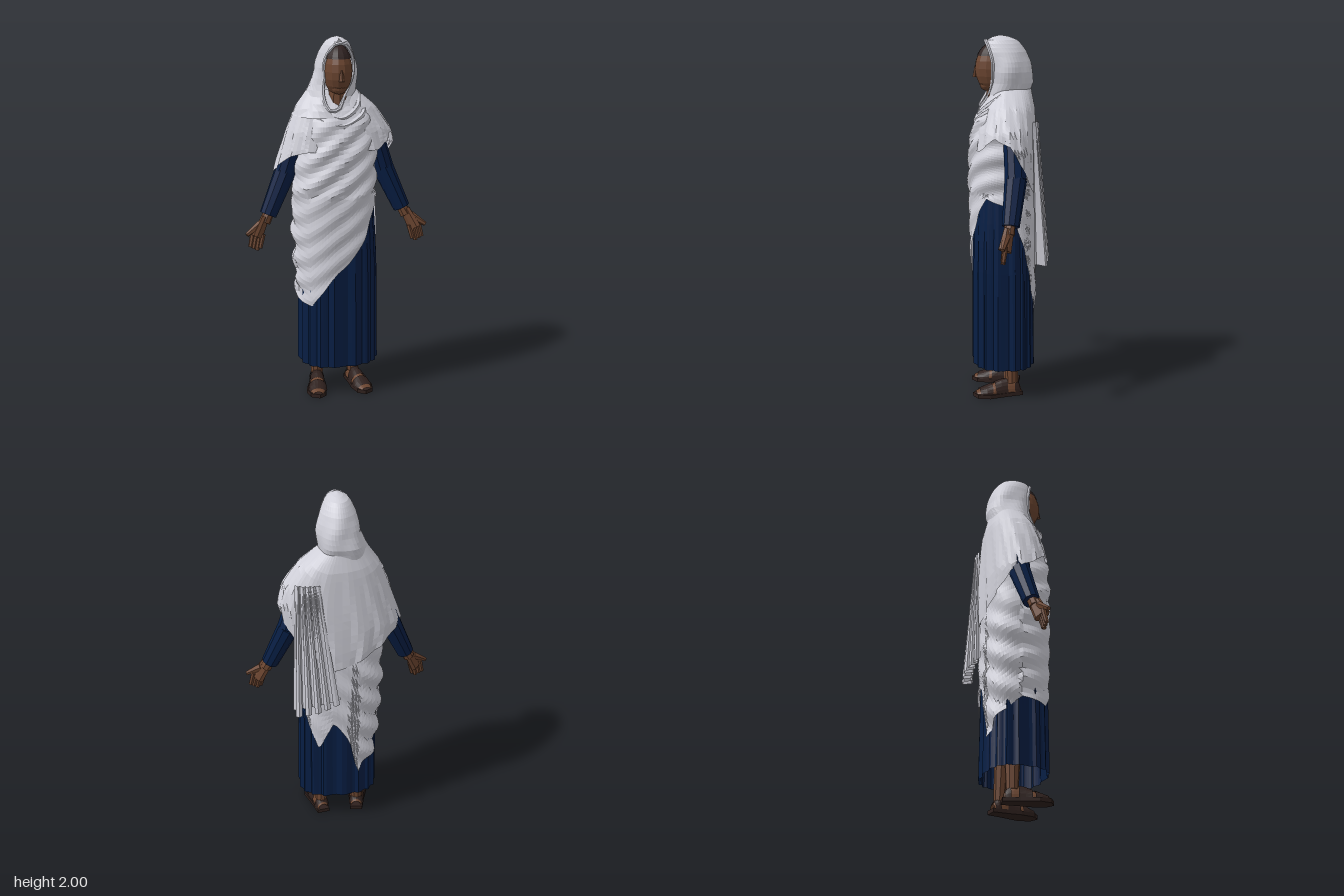
import * as THREE from 'three';

const mat = (name, color) => {
  const m = new THREE.MeshStandardMaterial({ color, side: THREE.DoubleSide, flatShading: true });
  m.name = name;
  return m;
};
const cloth = mat('white shawl', 0xd0d0d9);
const blue = mat('navy dress', 0x071e44);
const skin = mat('brown skin', 0x6b4530);
const dark = mat('dark hair', 0x2f2221);
const leather = mat('dark leather', 0x2e201d);

const V = (x, y, z) => new THREE.Vector3(x, y, z);
const RAD = Math.PI / 180;

// Piecewise linear lookup in rows of [key, ...values]
function look(rows, t) {
  if (t <= rows[0][0]) return rows[0].slice(1);
  for (let i = 1; i < rows.length; i++) {
    if (t <= rows[i][0]) {
      const a = rows[i - 1], b = rows[i], k = (t - a[0]) / (b[0] - a[0]);
      return a.slice(1).map((v, j) => v + (b[j + 1] - v) * k);
    }
  }
  return rows[rows.length - 1].slice(1);
}

// Point of a lopsided rounded section; rows are [y, xRight, xLeft, zBack, zFront]
function section(rows, deg, y, power, bulge = 0) {
  const [xr, xl, zb, zf] = look(rows, y);
  const c = Math.cos(deg * RAD), s = Math.sin(deg * RAD);
  const f = (v) => Math.sign(v) * Math.abs(v) ** (2 / power);
  return V(f(c) * (c < 0 ? xr : xl) + c * bulge, y, f(s) * (s < 0 ? zb : zf) + s * bulge);
}

// Surface from a grid of points; u runs round, v runs down
function sheet(name, material, nu, nv, fn) {
  const pos = [], idx = [];
  for (let j = 0; j <= nv; j++)
    for (let i = 0; i <= nu; i++) pos.push(...fn(i / nu, j / nv).toArray());
  for (let j = 0; j < nv; j++)
    for (let i = 0; i < nu; i++) {
      const a = j * (nu + 1) + i, b = a + nu + 1;
      idx.push(a, a + 1, b, a + 1, b + 1, b);
    }
  const g = new THREE.BufferGeometry();
  g.setAttribute('position', new THREE.Float32BufferAttribute(pos, 3));
  g.setIndex(idx);
  g.computeVertexNormals();
  return named(new THREE.Mesh(g, material), name);
}
const named = (o, name) => { o.name = name; return o; };

// Tapered limb between two points, optionally flattened in z
function limb(name, material, p, q, r1, r2, sides = 8, flat = 1) {
  const g = new THREE.CylinderGeometry(r2, r1, p.distanceTo(q), sides);
  g.scale(1, 1, flat);
  const m = new THREE.Mesh(g, material);
  m.position.copy(p).add(q).multiplyScalar(0.5);
  m.quaternion.setFromUnitVectors(V(0, 1, 0), q.clone().sub(p).normalize());
  return named(m, name);
}
function ball(name, material, p, sx, sy, sz, theta = Math.PI) {
  const m = new THREE.Mesh(new THREE.SphereGeometry(1, 14, 10, 0, Math.PI * 2, 0, theta), material);
  m.position.copy(p);
  m.scale.set(sx, sy, sz);
  return named(m, name);
}
const tube = (name, material, pts, r, closed = false) => named(new THREE.Mesh(
  new THREE.TubeGeometry(new THREE.CatmullRomCurve3(pts, closed), 28, r, 6, closed), material), name);
const saw = (t) => { const f = t - Math.floor(t); return f < 0.7 ? f / 0.7 : (1 - f) / 0.3; };

const WRAP = [[0.3, .2, .23, .156, .2], [0.5, .205, .232, .158, .2], [0.8, .225, .232, .158, .205],
  [1.0, .235, .228, .16, .21], [1.2, .24, .215, .15, .212], [1.4, .21, .215, .138, .208],
  [1.55, .2, .21, .135, .178], [1.62, .165, .165, .135, .135], [1.68, .11, .1, .12, .085]];
const WRAP_EDGE = [[0, 1.1], [30, 1.14], [45, 1.06], [62, .92], [90, .75], [115, .62], [138, .53], [180, .55],
  [205, .48], [228, .43], [250, .34], [262, .55], [277, .69], [298, .51], [315, .64], [332, .85], [346, .95], [360, 1.1]];
const MANTLE = [[1.0, .24, .28, .168, .19], [1.15, .31, .3, .168, .19], [1.28, .342, .315, .165, .19],
  [1.4, .302, .333, .16, .185], [1.5, .27, .3, .155, .165], [1.62, .22, .215, .15, .125], [1.72, .15, .1, .13, .06]];
const MANTLE_EDGE = [[0, 1.44], [25, 1.48], [55, 1.4], [125, 1.4], [150, 1.37], [180, 1.28], [205, 1.25],
  [230, 1.16], [255, 1.08], [285, 1.02], [310, 1.15], [335, 1.3], [348, 1.37], [360, 1.44]];
const DRESS = [[0.17, .208, .228, .148, .192], [0.8, .203, .22, .14, .188], [1.1, .19, .203, .128, .175],
  [1.4, .18, .18, .11, .15], [1.55, .15, .15, .1, .12]];
// Hood rows: [y, half width, zBack, zFront, half opening]
const HOOD = [[1.58, .2, -.14, .165, 0], [1.62, .165, -.138, .145, .025], [1.68, .137, -.13, .115, .055],
  [1.75, .125, -.148, .112, .075], [1.85, .112, -.13, .118, .08], [1.92, .09, -.1, .125, .062],
  [1.965, .066, -.065, .12, .025], [1.985, .046, -.04, .1, 0], [2, 0, .035, .035, 0]];

function hoodPoint(u, y) {
  const [rx, zb, zf, open] = look(HOOD, y);
  const gap = rx ? Math.asin(Math.min(0.95, open / rx)) : 0;
  const a = Math.PI / 2 + gap + u * (Math.PI * 2 - 2 * gap);
  const cx = -0.04 * Math.max(0, Math.min(1, (1.8 - y) / 0.15));
  const fold = 1 + 0.035 * Math.sin(a * 5 + y * 18) * Math.min(1, (2 - y) * 6);
  return V(cx + Math.cos(a) * rx * fold, y, (zb + zf) / 2 + Math.sin(a) * fold * (zf - zb) / 2);
}

function arm(s) {
  const g = named(new THREE.Group(), s > 0 ? 'leftArm' : 'rightArm');
  const P = (x, y, z) => V(s * x, y, z);
  const elbow = P(.275, 1.26, -.032);
  g.add(
    limb('upperSleeve', blue, P(.2, 1.5, -.025), elbow, .058, .06, 10),
    limb('lowerSleeve', blue, elbow, P(.378, 1.03, 0), .06, .047, 10),
    limb('wrist', skin, P(.365, 1.06, 0), P(.4, .99, .012), .028, .032),
    limb('palm', skin, P(.395, 1.02, .01), P(.447, .915, .035), .034, .045, 8, .55),
    limb('thumb', skin, P(.425, .985, .025), P(.505, .935, .05), .024, .012, 6));
  // Four fingers held close below the palm
  for (let i = 0; i < 4; i++) {
    const x = .414 + i * .018;
    g.add(limb('finger', skin, P(x, .93 + i * .005, .033), P(x + .018, .845 + Math.abs(i - 1) * .01, .045), .015, .012, 6));
  }
  return g;
}

function foot(s) {
  const g = named(new THREE.Group(), s > 0 ? 'leftFoot' : 'rightFoot');
  // Sandal sole, wider at the toes
  const o = new THREE.Shape([[-.035, -.13], [.035, -.13], [.045, -.04], [.062, .06], [.04, .125],
    [-.01, .145], [-.045, .11], [-.052, .03], [-.04, -.05]].map(([x, y]) => new THREE.Vector2(x, y)));
  const sole = new THREE.ExtrudeGeometry(o, { depth: .022, bevelEnabled: false });
  sole.rotateX(Math.PI / 2).translate(0, .022, 0);
  g.add(named(new THREE.Mesh(sole, leather), 'sandalSole'));
  // Foot running from heel to toes, with straps following its section
  const rows = [[-.12, .028, .05], [-.09, .036, .085], [-.03, .036, .09], [.03, .045, .068], [.09, .046, .045], [.13, .026, .032]];
  const top = (z, a, off) => {
    const [w, h] = look(rows, z);
    return V(Math.cos(a) * (w + off), .02 + Math.sin(a) * (h - .02 + off), z);
  };
  g.add(sheet('footTop', skin, 10, 10, (u, v) => top(-.12 + v * .25, Math.PI * (1 - u), 0)));
  for (const [z0, z1] of [[.04, .11], [-.045, .025], [-.115, -.085]])
    g.add(sheet('sandalStrap', leather, 10, 2, (u, v) => top(z0 + (z1 - z0) * v, Math.PI * (1 - u), .007)));
  g.add(limb('ankle', skin, V(0, .07, -.075), V(-.02, .32, -.07), .034, .046, 9));
  g.scale.x = s;
  g.position.set(s * .118, 0, .052);
  g.rotation.y = s * .16;
  return g;
}

export function createModel() {
  const model = new THREE.Group();

  // Long pleated dress
  model.add(sheet('dress', blue, 84, 10, (u, v) => {
    const y = 1.55 - v * 1.375;
    const pleat = (saw(u * 17) - .6) * .018 * Math.min(1, v * 1.3);
    return section(DRESS, u * 360, y, 2.6, pleat);
  }));

  // Shawl wound round the body, its folds rising towards the left shoulder
  model.add(sheet('bodyWrap', cloth, 84, 40, (u, v) => {
    const deg = u * 360, start = 1.66 - .025 * Math.sin(deg * RAD);
    const y = start + (look(WRAP_EDGE, deg)[0] - start) * v;
    const p = section(WRAP, deg, y, 2.5);
    // Deep bunched folds on the right hip, shallow ones elsewhere
    const hip = Math.max(0, -Math.cos((deg - 35) * RAD)) ** 3 * Math.min(1, Math.max(0, (1.15 - y) * 5));
    const wave = Math.sin((y - .75 * p.x) * (48 - 12 * (p.z < 0)));
    const strength = Math.min(1, v * 5) * (y > 1.15 ? .009 : .004);
    return section(WRAP, deg, y, 2.5, wave * strength + hip * .012 * (wave + 1));
  }));

  // Shawl over the shoulders and upper arms
  model.add(sheet('shoulderMantle', cloth, 64, 14, (u, v) => {
    const deg = u * 360, y = 1.72 + (look(MANTLE_EDGE, deg)[0] - 1.72) * v;
    return section(MANTLE, deg, y, 2.35, .014 * v * (saw(u * 17 + v * .8) - .5));
  }));

  // Pleated end hanging from the left shoulder down the back
  model.add(sheet('hangingEnd', cloth, 40, 10, (u, v) => {
    const wave = .5 - .5 * Math.cos(u * Math.PI * 10);
    const x = .18 + (u - .5) * .13 + v * ((u - .5) * .13 - .04);
    const y = 1.56 - v * (.77 - .06 * (1 - u) + .015 * wave);
    const z = -.15 - .015 * v - (.012 + .05 * v) * wave * (.35 + .65 * Math.min(1, u * 2));
    return V(x + .012 * v * Math.sin(u * Math.PI * 20), y, z + .03 * u ** 3);
  }));

  // Head, neck and hair
  model.add(
    limb('neck', skin, V(0, 1.58, .06), V(0, 1.76, .055), .06, .052, 10),
    ball('head', skin, V(-.005, 1.822, .07), .078, .132, .105),
    ball('hair', dark, V(-.005, 1.828, .067), .082, .134, .108, 62 * RAD),
    ball('chin', skin, V(-.005, 1.735, .107), .042, .036, .042),
    limb('nose', skin, V(-.005, 1.775, .17), V(-.005, 1.835, .167), .016, .007, 5));

  // Hood with a rolled edge round the face
  model.add(sheet('hood', cloth, 32, 16, (u, v) => hoodPoint(u, 2 - .42 * v ** 1.35)));
  const levels = [1.62, 1.68, 1.75, 1.8, 1.85, 1.91, 1.965];
  model.add(tube('hoodEdge', cloth, [...levels.map((y) => hoodPoint(0, y)),
    ...levels.reverse().map((y) => hoodPoint(1, y))], .01, true));

  // Loose folds slung below the chin
  for (let i = 0; i < 2; i++) {
    const w = .12 + i * .03, y = 1.575 - i * .04;
    model.add(tube('neckFold', cloth, [V(-w - .02, y + .1, .04), V(-w * .7, y + .03, .115 + i * .02),
      V(0, y, .15 + i * .018), V(w * .75, y + .05, .11 + i * .02), V(w, y + .11, .03)], .016));
  }

  for (const s of [-1, 1]) model.add(arm(s), foot(s));
  return model;
}
